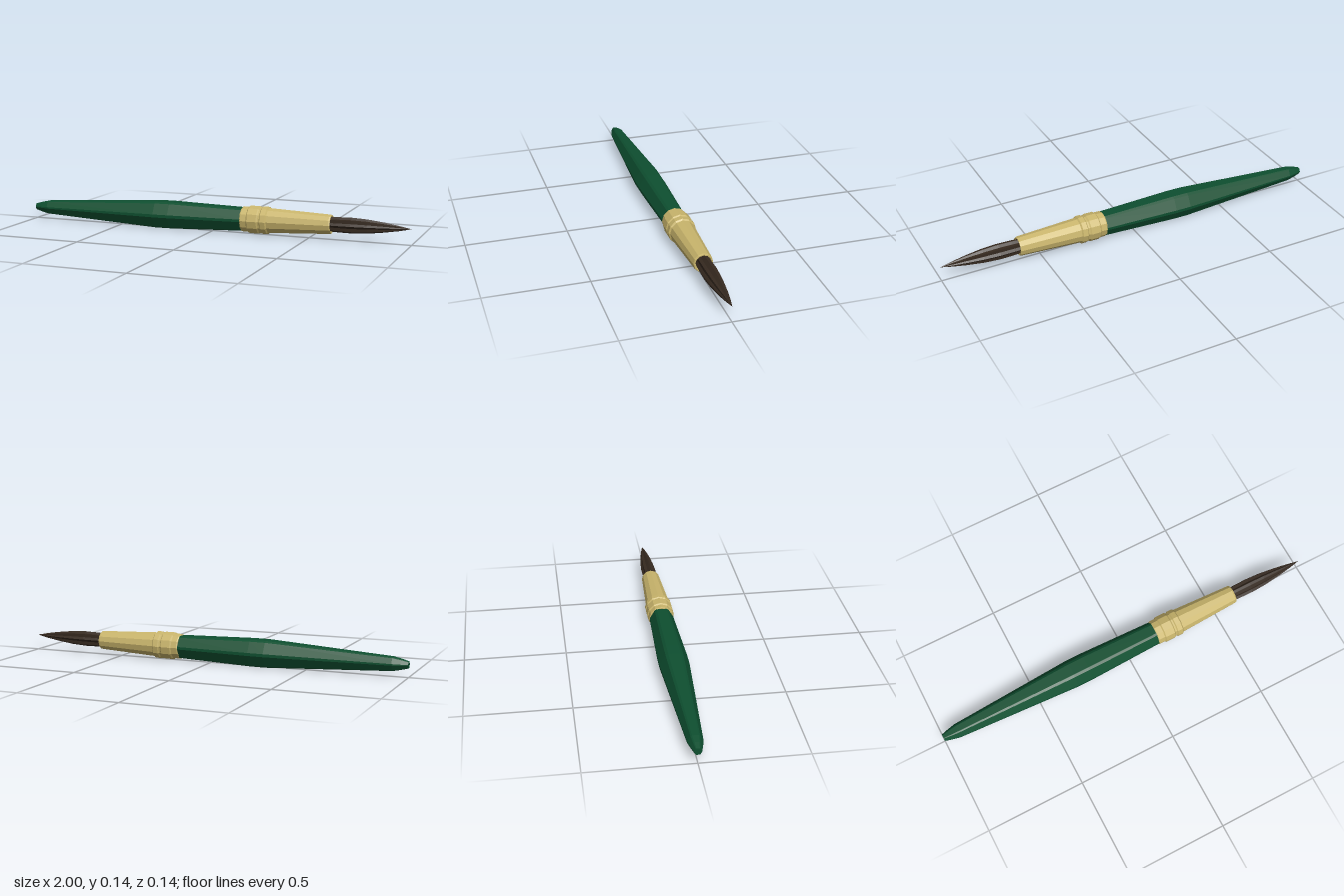
import * as THREE from 'three';

// Lofts a cross-section along x. Stations are [x, radius]; the section is a
// list of [angle, scale], with the angle running from +y towards +z.
function loft(stations, section) {
  const positions = [];
  const point = ([x, r], [angle, scale]) => [x, r * scale * Math.cos(angle), r * scale * Math.sin(angle)];
  for (let i = 0; i < stations.length - 1; i++) {
    const s = stations[i], t = stations[i + 1];
    for (let j = 0; j < section.length; j++) {
      const k = (j + 1) % section.length;
      const a = point(s, section[j]), b = point(s, section[k]);
      const c = point(t, section[k]), d = point(t, section[j]);
      if (s[1] > 0) positions.push(...a, ...b, ...c);
      if (t[1] > 0) positions.push(...a, ...c, ...d);
    }
  }
  const geometry = new THREE.BufferGeometry();
  geometry.setAttribute('position', new THREE.Float32BufferAttribute(positions, 3));
  geometry.computeVertexNormals();
  return geometry;
}

// Evenly spaced section; the scale may depend on the corner index
function ring(count, scale = () => 1) {
  return Array.from({ length: count }, (_, i) => [(i / count) * Math.PI * 2, scale(i)]);
}

function material(name, color) {
  const m = new THREE.MeshStandardMaterial({ color });
  m.name = name;
  return m;
}

export function createModel() {
  const model = new THREE.Group();
  model.name = 'paintbrush';
  const brush = new THREE.Group();
  brush.name = 'brush';
  model.add(brush);

  const add = (name, geometry, mat) => {
    const mesh = new THREE.Mesh(geometry, mat);
    mesh.name = name;
    brush.add(mesh);
  };

  // Hexagonal handle with narrow chamfers along its corners
  const hexagon = [];
  for (let i = 0; i < 6; i++) {
    for (const side of [-1, 1]) {
      hexagon.push([THREE.MathUtils.degToRad(30 + 60 * i + side * 5.9), 1.096]);
    }
  }
  add('handle', loft([
    [-1, 0], [-1, 0.016], [-0.965, 0.025], [-0.925, 0.033],
    [-0.3, 0.0662], [-0.22, 0.0662], [0.165, 0.055], [0.165, 0],
  ], hexagon), material('green paint', 0x0e4f30));

  // Metal ferrule with two raised bands and a hollow, rimmed mouth
  add('ferrule', loft([
    [0.16, 0.05], [0.16, 0.061], [0.165, 0.0635], [0.194, 0.0635],
    [0.2, 0.069], [0.248, 0.069], [0.254, 0.064], [0.262, 0.064],
    [0.267, 0.069], [0.292, 0.069], [0.298, 0.062],
    [0.606, 0.0475], [0.612, 0.045], [0.612, 0.04], [0.58, 0.037], [0.58, 0],
  ], ring(12)), material('brass', 0xc9b56c));

  // Fluted bristles tapering to a point
  add('bristles', loft([
    [0.575, 0], [0.575, 0.034], [0.64, 0.037], [0.71, 0.0385],
    [0.79, 0.034], [0.87, 0.024], [0.94, 0.0125], [1, 0],
  ], ring(16, (i) => (i % 2 ? 0.78 : 1))), material('dark bristle', 0x35291f));

  // The brush rests on its widest point with the tip slightly raised
  brush.rotation.z = 0.0083;
  brush.position.y = 0.0695;
  return model;
}
